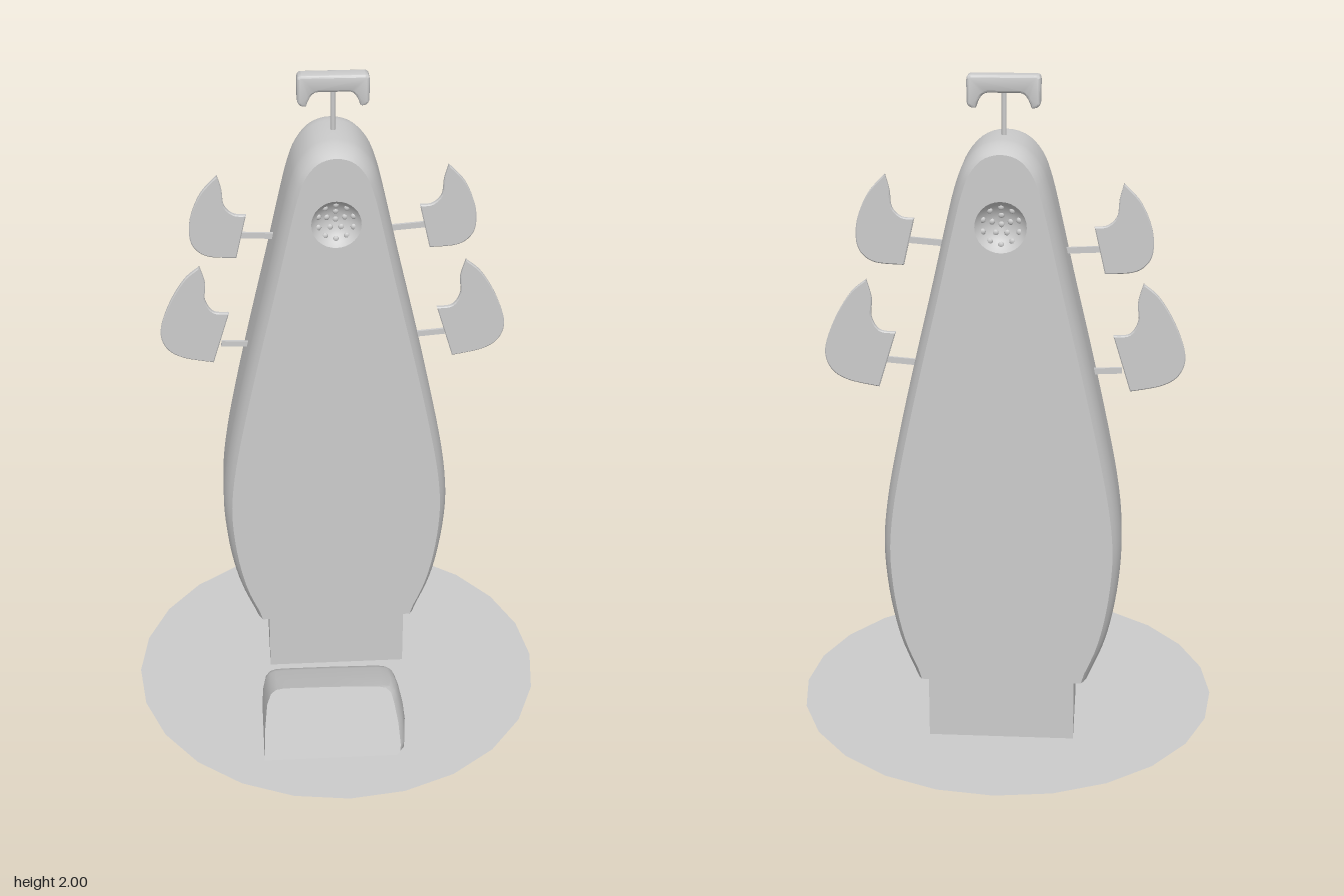
import * as THREE from 'three';
import { toCreasedNormals } from 'three/addons/utils/BufferGeometryUtils.js';

const grey = new THREE.MeshStandardMaterial({ color: 0xcccccc });
const thin = new THREE.MeshStandardMaterial({ color: 0xcccccc, side: THREE.DoubleSide });
const MID = -0.158; // depth centre of the body
const BACK = -0.316;
const BOTTOM = 0.19;

function add(parent, name, geometry, x = 0, y = 0, z = 0, material = grey) {
  const mesh = new THREE.Mesh(geometry, material);
  mesh.name = name;
  mesh.position.set(x, y, z);
  parent.add(mesh);
  return mesh;
}

// Skin between counter-clockwise rings running from front to back
function loft(rings, caps, crease) {
  const out = [];
  const tri = (...p) => p.forEach(v => out.push(v.x, v.y, v.z));
  const n = rings[0].length;
  for (let i = 0; i < rings.length - 1; i++) {
    for (let j = 0; j < n; j++) {
      const k = (j + 1) % n, f = rings[i], b = rings[i + 1];
      tri(f[j], b[j], b[k]);
      tri(f[j], b[k], f[k]);
    }
  }
  if (caps) {
    [rings[0], rings[rings.length - 1]].forEach((r, side) => {
      const c = r.reduce((s, v) => s.add(v), new THREE.Vector3()).divideScalar(n);
      for (let j = 0; j < n; j++) {
        const k = (j + 1) % n;
        side ? tri(c, r[k], r[j]) : tri(c, r[j], r[k]);
      }
    });
  }
  const g = new THREE.BufferGeometry();
  g.setAttribute('position', new THREE.Float32BufferAttribute(out, 3));
  return toCreasedNormals(g, crease);
}

// Pear-shaped outline, right foot over the top to left foot
const half = [[0.265, BOTTOM], [0.31, 0.3], [0.338, 0.42], [0.353, 0.55], [0.353, 0.66], [0.335, 0.8],
  [0.295, 1.0], [0.25, 1.2], [0.203, 1.4], [0.158, 1.6], [0.133, 1.7], [0.107, 1.765], [0.062, 1.813]];
const outline = new THREE.SplineCurve([
  ...half, [0, 1.83], ...half.slice().reverse().map(([x, y]) => [-x, y]),
].map(p => new THREE.Vector2(...p)));

function bodyRing(inset) {
  const pts = [], N = 90;
  for (let i = 0; i <= N; i++) {
    const p = outline.getPoint(i / N), t = outline.getTangent(i / N);
    p.x -= t.y * inset;
    p.y += t.x * inset;
    if (i === 0 || i === N) p.y = BOTTOM;
    p.y = Math.max(p.y, BOTTOM);
    pts.push(p);
  }
  return pts;
}

function buildBody(g) {
  // Rounded sides
  const edge = [[0, 0.026], [0.015, 0.016], [0.035, 0.008], [0.06, 0.002], [0.085, 0]];
  const sections = [...edge.map(([d, s]) => [-d, s]), ...edge.slice().reverse().map(([d, s]) => [BACK + d, s])];
  const rings = sections.map(([z, s]) => bodyRing(s).map(p => new THREE.Vector3(p.x, p.y, z)));
  add(g, 'bodySides', loft(rings, false, 0.6));

  // Front and back faces, each with a dished grille
  for (const side of ['front', 'back']) {
    const panel = new THREE.Group();
    panel.name = side + 'Panel';
    const face = new THREE.Shape(bodyRing(0.026));
    face.holes.push(new THREE.Path().absarc(0, 1.6, 0.073, 0, Math.PI * 2, true));
    add(panel, 'face', new THREE.ShapeGeometry(face, 16));
    const dish = new THREE.LatheGeometry([[0, -0.042], [0.025, -0.038], [0.045, -0.029], [0.062, -0.015], [0.073, 0]]
      .map(p => new THREE.Vector2(...p)), 32).rotateX(Math.PI / 2);
    add(panel, 'grilleDish', dish, 0, 1.6, 0, thin);
    for (const [count, r, z] of [[1, 0, -0.042], [5, 0.028, -0.037], [10, 0.054, -0.022]]) {
      for (let i = 0; i < count; i++) {
        const a = Math.PI / 2 + i / count * Math.PI * 2;
        const dot = add(panel, 'grilleDot', new THREE.SphereGeometry(0.009, 10, 6), r * Math.cos(a), 1.6 + r * Math.sin(a), z);
        dot.scale.z = 0.6;
      }
    }
    if (side === 'back') {
      panel.rotation.y = Math.PI;
      panel.position.z = BACK;
    }
    g.add(panel);
  }
  add(g, 'plinth', new THREE.BoxGeometry(0.44, BOTTOM, -BACK), 0, BOTTOM / 2, MID);
}

// Thin fin: curved outer edge from tip to lower corner, straight root, hooked inner edge
function finGeometry(tip, outer, root, inner) {
  const v = pts => pts.map(p => new THREE.Vector2(...p));
  const s = new THREE.Shape().moveTo(...tip);
  s.splineThru(v(outer));
  s.lineTo(...root);
  s.splineThru(v(inner));
  const g = new THREE.ExtrudeGeometry(s, {
    depth: 0.01, curveSegments: 16, bevelThickness: 0.003, bevelSize: 0.003, bevelOffset: -0.003, bevelSegments: 1,
  });
  return toCreasedNormals(g.translate(0, 0, -0.005), 0.5);
}

const upperFin = [[0.34, 1.695], [[0.39, 1.64], [0.422, 1.565], [0.427, 1.5], [0.41, 1.46], [0.37, 1.436], [0.29, 1.43]],
  [0.258, 1.568], [[0.295, 1.572], [0.322, 1.6], [0.328, 1.65], [0.34, 1.695]]];
const lowerFin = [[0.402, 1.402], [[0.45, 1.36], [0.498, 1.28], [0.528, 1.19], [0.513, 1.13], [0.463, 1.095], [0.37, 1.075]],
  [0.318, 1.244], [[0.365, 1.25], [0.389, 1.29], [0.387, 1.345], [0.402, 1.402]]];

function buildFins(g) {
  for (const side of [1, -1]) {
    const name = side > 0 ? 'left' : 'right';
    const lift = side > 0 ? 0.018 : 0;
    for (const [level, fin, dy, rodX, rodY] of [['Upper', upperFin, lift, 0.225, 1.5], ['Lower', lowerFin, 0, 0.27, 1.135]]) {
      const geo = finGeometry(...fin);
      // A half turn about y mirrors the symmetric-thickness fin
      if (side < 0) geo.rotateY(Math.PI);
      add(g, name + level + 'Fin', geo, 0, dy, MID);
      const rod = add(g, name + level + 'Rod', new THREE.BoxGeometry(0.15, 0.018, 0.008), side * rodX, rodY + lift, MID);
      rod.rotation.z = side > 0 ? 0.08 : -0.05;
    }
  }
}

// Short post with a drooping crossbar
function buildHandle(g) {
  add(g, 'handlePost', new THREE.CylinderGeometry(0.007, 0.007, 0.15, 12), 0, 1.885, MID);
  const s = new THREE.Shape().moveTo(-0.09, 2);
  s.quadraticCurveTo(-0.104, 2, -0.104, 1.985);
  s.lineTo(-0.104, 1.925);
  s.quadraticCurveTo(-0.1, 1.905, -0.078, 1.908);
  s.quadraticCurveTo(-0.065, 1.95, -0.045, 1.95);
  s.lineTo(0.045, 1.95);
  s.quadraticCurveTo(0.065, 1.95, 0.078, 1.908);
  s.quadraticCurveTo(0.1, 1.905, 0.104, 1.925);
  s.lineTo(0.104, 1.985);
  s.quadraticCurveTo(0.104, 2, 0.09, 2);
  const bar = new THREE.ExtrudeGeometry(s, {
    depth: 0.036, curveSegments: 6, bevelThickness: 0.009, bevelSize: 0.007, bevelOffset: -0.007, bevelSegments: 3,
  });
  add(g, 'handleBar', toCreasedNormals(bar, 0.7), 0, 0, MID - 0.02);
}

// Wedge on the floor, tall slanted front and rounded low back
function buildWedge(g) {
  const profile = [[0, 0], [0.97, 0], [0.995, 0.05], [1, 0.14], [0.985, 0.45], [0.955, 0.75], [0.935, 0.88], [0.9, 0.95],
    [0.84, 0.975], [0.5, 0.995], [0.16, 1], [0.1, 0.985], [0.06, 0.93], [0.03, 0.78], [0.008, 0.4]];
  // bottom z, top z, height, left x, right x
  const sections = [[0.466, 0.385, 0.217, -0.253, 0.172], [0.445, 0.37, 0.211, -0.253, 0.185], [0.33, 0.285, 0.173, -0.253, 0.197],
    [0.21, 0.2, 0.137, -0.253, 0.193], [0.18, 0.175, 0.124, -0.252, 0.184], [0.167, 0.166, 0.112, -0.246, 0.172], [0.163, 0.162, 0.095, -0.23, 0.15]];
  const rings = sections.map(([zb, zt, h, x0, x1]) => profile.map(([u, v]) =>
    new THREE.Vector3(x0 + u * (x1 - x0), v * h, zb + v * (zt - zb))));
  add(g, 'floorWedge', loft(rings, true, 0.75));
}

export function createModel() {
  const g = new THREE.Group();
  g.name = 'model';
  add(g, 'floorDisc', new THREE.CircleGeometry(0.65, 24).rotateX(-Math.PI / 2), 0, 0, 0, thin);
  buildBody(g);
  buildFins(g);
  buildHandle(g);
  buildWedge(g);
  return g;
}
